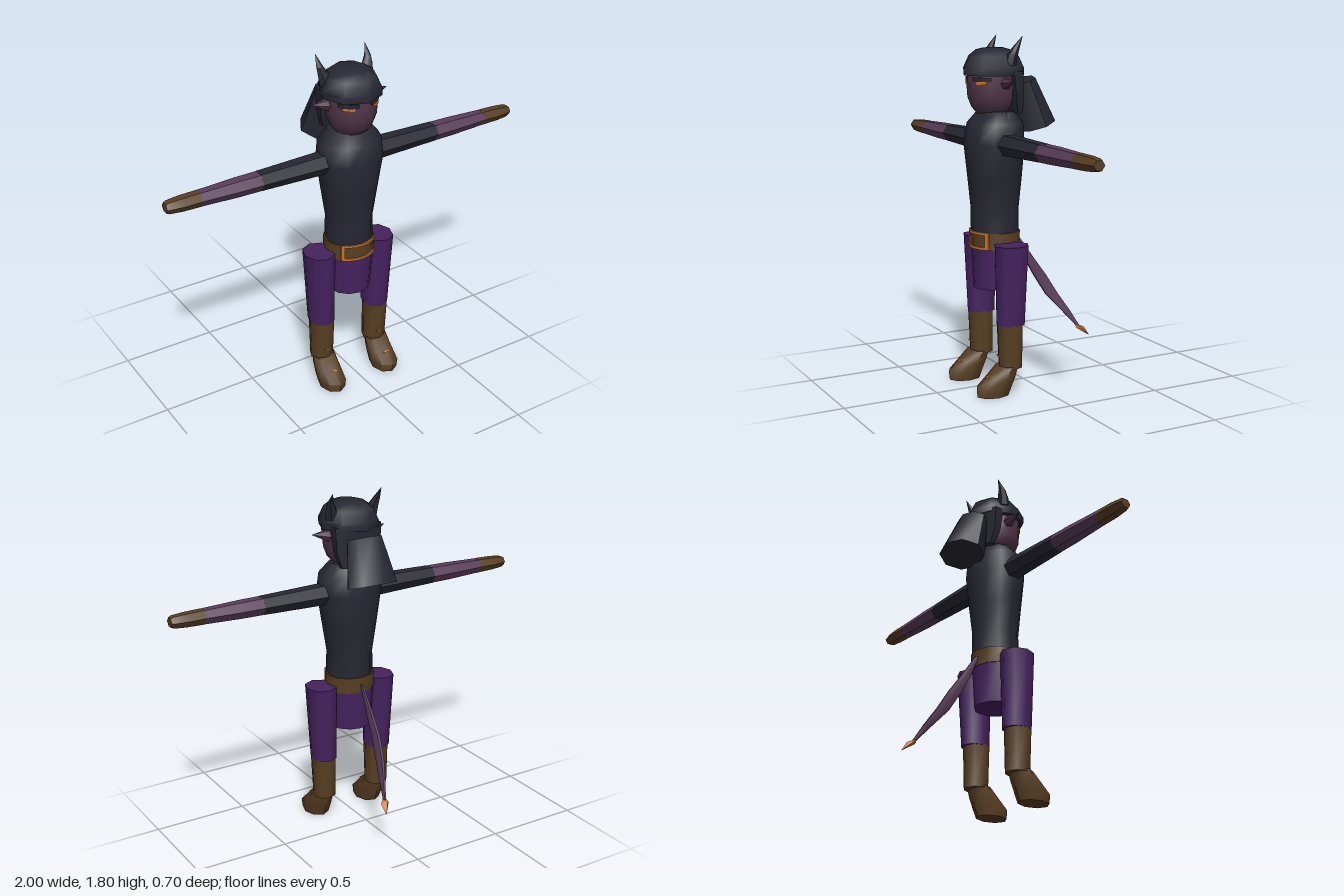
import * as THREE from 'three';
import { toCreasedNormals } from 'three/addons/utils/BufferGeometryUtils.js';

const material = (name, color) => Object.assign(new THREE.MeshStandardMaterial({ color }), { name });
const CZ = 0.165; // depth of the body axis

// Closed skin over rings [y, rx, rz, cx, cz], listed from bottom to top
function loft(rings, n = 8, phase = 0) {
  const pos = [], index = [];
  for (const [y, rx, rz, cx = 0, cz = 0] of rings) {
    for (let i = 0; i < n; i++) {
      const a = phase + (i / n) * Math.PI * 2;
      pos.push(cx + Math.cos(a) * rx, y, cz - Math.sin(a) * rz);
    }
  }
  const top = (rings.length - 1) * n;
  for (let i = 0; i < n; i++) {
    const j = (i + 1) % n;
    for (let r = 0; r < top; r += n) {
      index.push(r + i, r + j, r + n + j, r + i, r + n + j, r + n + i);
    }
    if (i > 0 && i < n - 1) index.push(0, j, i, top, top + i, top + j);
  }
  const g = new THREE.BufferGeometry();
  g.setAttribute('position', new THREE.Float32BufferAttribute(pos, 3));
  g.setIndex(index);
  g.computeVertexNormals();
  return toCreasedNormals(g, 0.9);
}

// Thin plate bent around an elliptical body
function wrap(w, h, x, y, rx, rz, cz = CZ) {
  const g = new THREE.BoxGeometry(w, h, 0.008, 6, 1, 1).translate(x, y, 0);
  const p = g.attributes.position;
  for (let i = 0; i < p.count; i++) {
    const k = p.getX(i) / rx;
    p.setZ(i, p.getZ(i) + cz + rz * Math.sqrt(Math.max(0, 1 - k * k)));
  }
  g.computeVertexNormals();
  return g;
}

export function createModel() {
  const model = new THREE.Group();
  model.name = 'hornedFigure';
  const dark = material('charcoal cloth', 0x262732);
  const purple = material('purple trousers', 0x46225f);
  const brown = material('brown leather', 0x583e22);
  const orange = material('orange metal', 0xc8742c);
  const skin = material('mauve skin', 0x5a3d5a);
  const face = material('face skin', 0x523649);
  const add = (name, geometry, mat, parent = model) => {
    const m = new THREE.Mesh(geometry, mat);
    m.name = name;
    parent.add(m);
    return m;
  };

  // Torso, belt and hips
  add('torso', loft([
    [0.81, 0.124, 0.122, 0, CZ], [0.94, 0.12, 0.124, 0, CZ], [1.1, 0.147, 0.137, 0, CZ],
    [1.27, 0.175, 0.15, 0, 0.167], [1.37, 0.166, 0.135, 0, 0.162], [1.43, 0.115, 0.09, 0, 0.155],
  ], 12), dark);
  add('belt', loft([[0.735, 0.135, 0.123, 0, CZ], [0.82, 0.132, 0.125, 0, 0.162]], 12), brown);
  add('hips', loft([[0.525, 0.112, 0.112, 0, CZ], [0.74, 0.128, 0.12, 0, CZ]], 12), purple);
  for (const s of [-1, 1]) {
    add('buckleBar', wrap(0.2, 0.013, 0, 0.78 + s * 0.038, 0.138, 0.126), orange);
    add('buckleSide', wrap(0.013, 0.089, s * 0.094, 0.78, 0.138, 0.126), orange);
  }

  // Head, hair, helmet and hood
  add('head', loft([
    [1.42, 0.08, 0.075, 0, 0.18], [1.45, 0.108, 0.1, 0, 0.18], [1.5, 0.125, 0.12, 0, 0.18],
    [1.56, 0.13, 0.124, 0, 0.18], [1.63, 0.127, 0.12, 0, 0.18],
  ], 12), face);
  add('hair', loft([
    [1.42, 0.11, 0.04, 0, 0.07], [1.5, 0.138, 0.05, 0, 0.085], [1.63, 0.146, 0.068, 0, 0.095],
  ], 8, Math.PI / 8), dark);
  add('helmet', loft([
    [1.61, 0.154, 0.162, 0, 0.168], [1.645, 0.157, 0.162, 0, 0.168], [1.705, 0.128, 0.134, 0, 0.168],
    [1.735, 0.085, 0.095, 0, 0.17], [1.745, 0.045, 0.055, 0, 0.17],
  ], 8), dark);
  const hood = add('hood', loft([[-0.12, 0.142, 0.11], [0.12, 0.1, 0.07]], 8), dark);
  hood.position.set(0, 1.463, -0.022);
  hood.rotation.x = 0.31;

  for (const s of [-1, 1]) {
    // Eyes, brows and horns
    add('eye', wrap(0.052, 0.014, s * 0.077, 1.574, 0.132, 0.123, 0.18), orange);
    add('brow', wrap(0.08, 0.02, s * 0.075, 1.592, 0.132, 0.124, 0.18), dark);
    add('horn', loft([
      [1.66, 0.035, 0.034, s * 0.115, 0.138], [1.71, 0.031, 0.028, s * 0.124, 0.128],
      [1.75, 0.018, 0.018, s * 0.136, 0.112], [1.803, 0.001, 0.001, s * 0.141, 0.08],
    ], 6), dark);

    // Arm and ear, built pointing outwards
    const side = new THREE.Group();
    side.name = s > 0 ? 'leftArmAndEar' : 'rightArmAndEar';
    side.position.z = CZ;
    side.rotation.y = s > 0 ? 0 : Math.PI;
    model.add(side);
    const limb = (name, rings, mat, y) => {
      const m = add(name, loft(rings, 6, Math.PI / 2), mat, side);
      m.rotation.z = -Math.PI / 2;
      m.position.y = y;
    };
    limb('sleeve', [[0.15, 0.058, 0.062], [0.51, 0.049, 0.053]], dark, 1.27);
    limb('forearm', [[0.51, 0.048, 0.053], [0.62, 0.047, 0.052], [0.83, 0.04, 0.041]], skin, 1.27);
    limb('hand', [[0.825, 0.041, 0.041], [0.92, 0.038, 0.042], [0.985, 0.033, 0.034], [1, 0.026, 0.03]], brown, 1.27);
    limb('ear', [[0.11, 0.034, 0.03], [0.14, 0.028, 0.026, -0.004], [0.215, 0.001, 0.001, -0.018]], face, 1.57);

    // Leg, boot and foot
    add('trouserLeg', loft([
      [0.36, 0.068, 0.078, s * 0.167, 0.162], [0.77, 0.08, 0.093, s * 0.179, 0.162],
    ], 8), purple);
    add('bootShaft', loft([
      [0.135, 0.061, 0.063, s * 0.165, 0.163], [0.365, 0.067, 0.07, s * 0.167, 0.167],
    ], 8), brown);
    add('foot', loft([
      [0, 0.065, 0.088, s * 0.165, 0.262], [0.045, 0.072, 0.1, s * 0.166, 0.255],
      [0.1, 0.069, 0.078, s * 0.166, 0.214], [0.147, 0.064, 0.057, s * 0.165, 0.183],
    ], 8), brown);
    add('bootStud', new THREE.BoxGeometry(0.036, 0.007, 0.008).translate(s * 0.163, 0.2, 0.227), orange);
    const stud = add('footStud', new THREE.BoxGeometry(0.036, 0.005, 0.007), orange);
    stud.position.set(s * 0.163, 0.098, 0.293);
    stud.rotation.x = 0.75;
  }

  // Tail with pointed tip
  add('tail', loft([
    [0.262, 0.008, 0.009, 0.073, -0.298], [0.36, 0.012, 0.026, 0.046, -0.228],
    [0.45, 0.015, 0.039, 0.018, -0.16], [0.55, 0.015, 0.039, 0.004, -0.1],
    [0.65, 0.013, 0.03, 0, -0.035], [0.78, 0.008, 0.012, 0, 0.042],
  ], 6), skin);
  add('tailTip', loft([
    [0.216, 0.001, 0.001, 0.095, -0.348], [0.258, 0.023, 0.024, 0.077, -0.306],
    [0.274, 0.01, 0.01, 0.07, -0.288],
  ], 4), orange);

  return model;
}
